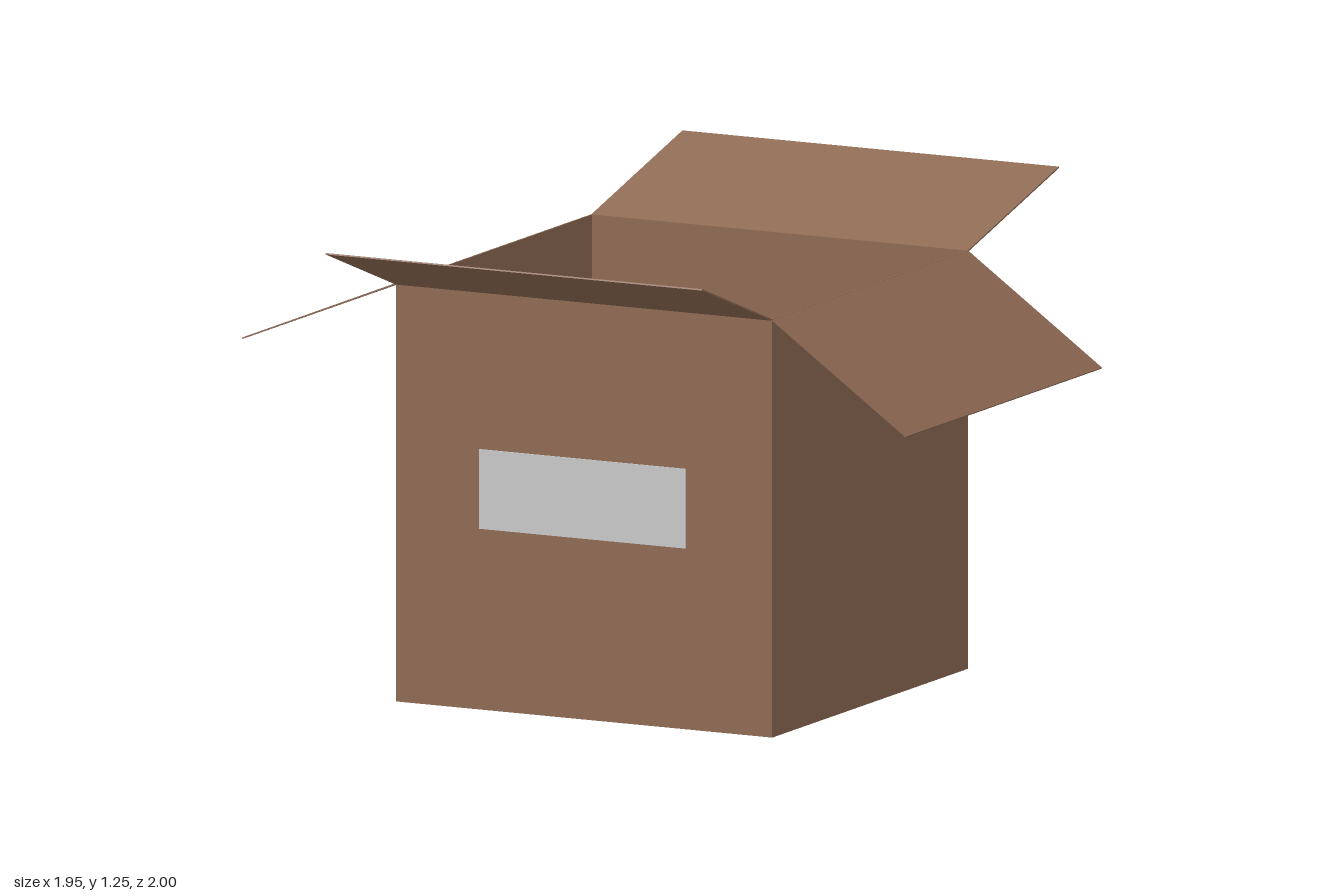
import * as THREE from 'three';

export function createModel() {
  const root = new THREE.Group();
  root.name = 'openBox';
  const cardboard = new THREE.MeshStandardMaterial({ color: 0x906b54, flatShading: true });
  const paper = new THREE.MeshStandardMaterial({ color: 0xcccccc, flatShading: true });

  // Outer limits of the box body and the card thickness
  const x0 = -0.525, x1 = 0.578, z0 = -0.49, z1 = 0.606, top = 1.105, t = 0.004;
  const width = x1 - x0, depth = z1 - z0;
  const cx = (x0 + x1) / 2, cz = (z0 + z1) / 2;

  function panel(name, size, position, material = cardboard) {
    const mesh = new THREE.Mesh(new THREE.BoxGeometry(...size), material);
    mesh.name = name;
    mesh.position.set(...position);
    root.add(mesh);
    return mesh;
  }

  // Floor and four walls
  panel('floor', [width, t, depth], [cx, t / 2, cz]);
  panel('frontWall', [width, top, t], [cx, top / 2, z1 - t / 2]);
  panel('backWall', [width, top, t], [cx, top / 2, z0 + t / 2]);
  panel('leftWall', [t, top, depth], [x1 - t / 2, top / 2, cz]);
  panel('rightWall', [t, top, depth], [x0 + t / 2, top / 2, cz]);

  // Flaps hinged on the rim: run outward by "reach", rising by "rise"
  function flap(name, hinge, turn, length, reach, rise) {
    const span = Math.hypot(reach, rise);
    const geometry = new THREE.BoxGeometry(length, t, span);
    geometry.translate(0, 0, span / 2);
    geometry.rotateX(-Math.atan2(rise, reach));
    const mesh = new THREE.Mesh(geometry, cardboard);
    mesh.name = name;
    mesh.position.set(hinge[0], top - t / 2, hinge[1]);
    mesh.rotation.y = turn;
    root.add(mesh);
  }
  flap('frontFlap', [cx, z1], 0, width, 1 - z1, 0.145);
  flap('backFlap', [cx, z0], Math.PI, width, 1 + z0, 0.137);
  flap('leftFlap', [x1, cz], Math.PI / 2, depth, 0.97 - x1, -0.275);
  flap('rightFlap', [x0, cz], -Math.PI / 2, depth, 0.975 + x0, -0.183);

  // Plain paper label on the front wall
  panel('label', [0.605, 0.21, t], [0.023, 0.583, z1 + t / 2], paper);

  return root;
}
